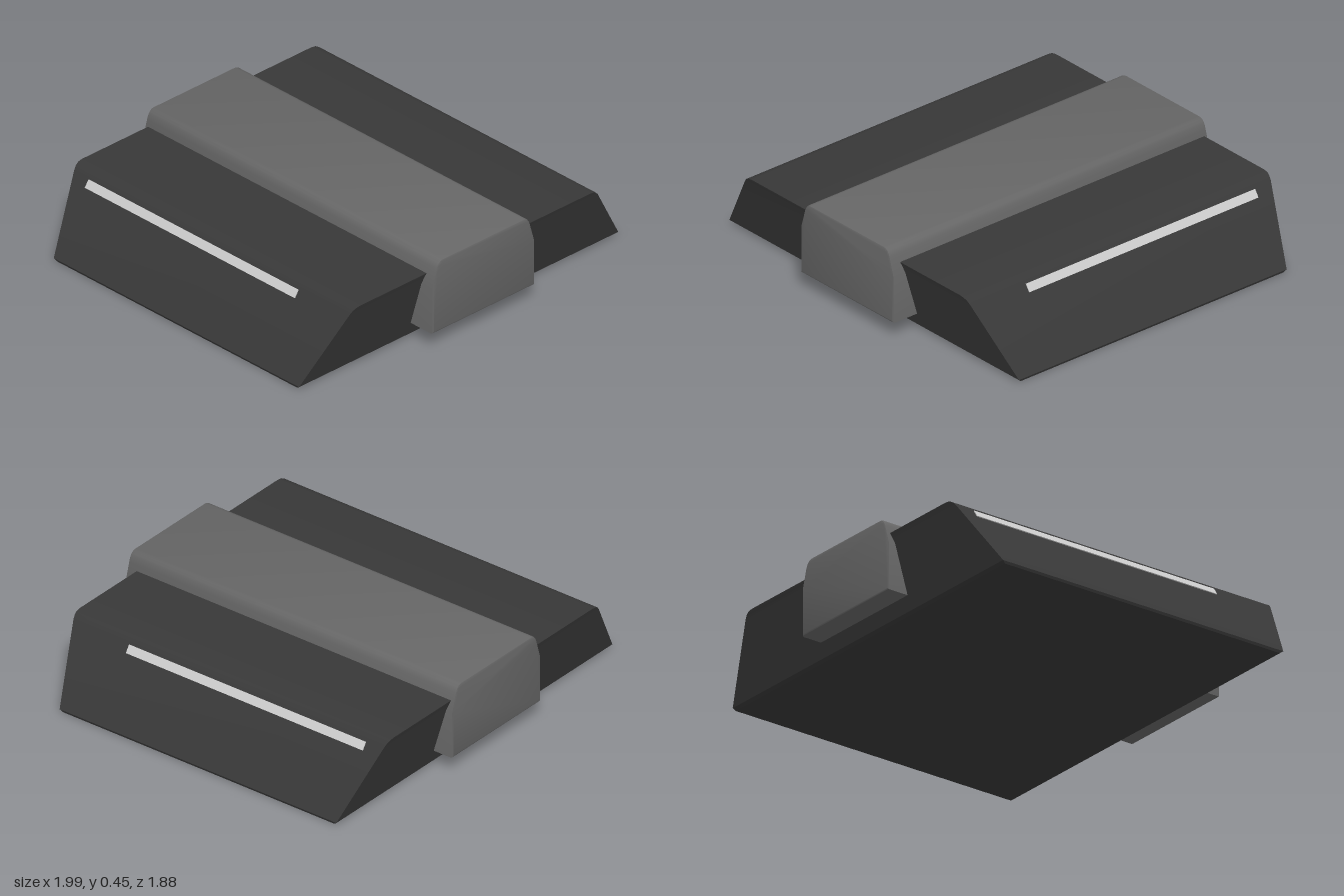
import * as THREE from 'three';
import { toCreasedNormals } from 'three/addons/utils/BufferGeometryUtils.js';

const mat = (name, color) => {
  const m = new THREE.MeshStandardMaterial({ color });
  m.name = name;
  return m;
};

// Solid from rectangular rings stacked upward: [y, halfWidth, halfDepth]
function ringLoft(rings) {
  const pos = [], idx = [];
  for (const [y, w, d] of rings) pos.push(-w, y, d, w, y, d, w, y, -d, -w, y, -d);
  for (let r = 0; r < rings.length - 1; r++) {
    for (let i = 0; i < 4; i++) {
      const a = r * 4 + i, b = r * 4 + (i + 1) % 4;
      idx.push(a, b, b + 4, a, b + 4, a + 4);
    }
  }
  const t = (rings.length - 1) * 4;
  idx.push(0, 2, 1, 0, 3, 2, t, t + 1, t + 2, t, t + 2, t + 3);
  const g = new THREE.BufferGeometry();
  g.setAttribute('position', new THREE.Float32BufferAttribute(pos, 3));
  g.setIndex(idx);
  return toCreasedNormals(g, 0.4);
}

export function createModel() {
  const group = new THREE.Group();
  const charcoal = mat('charcoal', 0x383838);
  const grey = mat('grey', 0x666666);
  const silver = mat('silver', 0xcccccc);

  const add = (name, geometry, material) => {
    const mesh = new THREE.Mesh(geometry, material);
    mesh.name = name;
    group.add(mesh);
    return mesh;
  };

  // Wedge body: sides lean in, front and back lean out
  const body = add('body', ringLoft([
    [0, 0.99, 0.78], [0.012, 0.995, 0.795], [0.34, 0.773, 0.893],
    [0.356, 0.758, 0.898], [0.366, 0.74, 0.902], [0.37, 0.715, 0.903],
  ]), charcoal);
  body.position.z = -0.017;

  // Raised centre band with rounded shoulders, overhanging both ends
  const band = new THREE.Shape();
  band.moveTo(-0.31, 0.09);
  band.lineTo(0.31, 0.09);
  band.lineTo(0.31, 0.315);
  band.lineTo(0.287, 0.395);
  band.quadraticCurveTo(0.277, 0.437, 0.25, 0.437);
  band.lineTo(-0.25, 0.437);
  band.quadraticCurveTo(-0.277, 0.437, -0.287, 0.395);
  band.lineTo(-0.31, 0.315);
  const bandGeo = new THREE.ExtrudeGeometry(band, {
    depth: 1.86, curveSegments: 6, bevelThickness: 0.01, bevelSize: 0.009, bevelSegments: 2,
  });
  bandGeo.translate(0, 0, -0.93);
  add('centreBand', toCreasedNormals(bandGeo, 0.5), grey);

  // Thin light strips lying on the sloped sides
  const slope = Math.atan2(0.222, 0.328);
  for (const s of [-1, 1]) {
    const strip = add(s > 0 ? 'leftStrip' : 'rightStrip',
      new THREE.BoxGeometry(0.008, 0.042, 1.36), silver);
    strip.position.set(s * 0.789, 0.317, -0.13);
    strip.rotation.z = s * slope;
  }
  return group;
}
